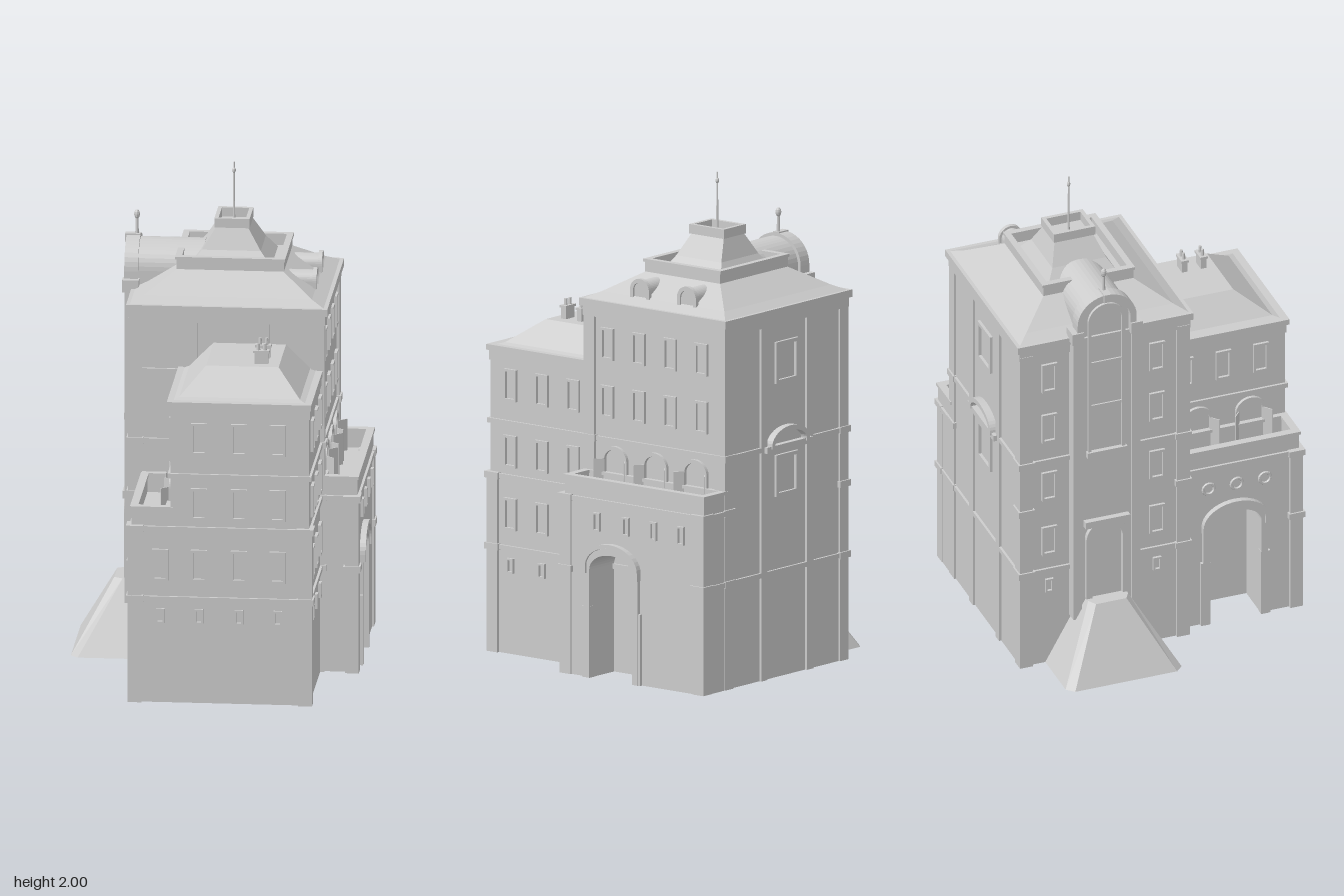
import * as THREE from 'three';

const mat = new THREE.MeshStandardMaterial({ color: 0xcccccc, side: THREE.DoubleSide, flatShading: true });
// Wall directions: local +z turned to the outward side of each wall
const FRONT = 0, LEFT = Math.PI / 2, BACK = Math.PI, RIGHT = -Math.PI / 2;

export function createModel() {
  const root = new THREE.Group();
  root.name = 'building';

  const put = (name, geo, x = 0, y = 0, z = 0, face = FRONT) => {
    const m = new THREE.Mesh(geo, mat);
    m.name = name;
    m.position.set(x, y, z);
    m.rotation.y = face;
    root.add(m);
    return m;
  };
  const box = (name, x0, x1, y0, y1, z0, z1) =>
    put(name, new THREE.BoxGeometry(x1 - x0, y1 - y0, z1 - z0), (x0 + x1) / 2, (y0 + y1) / 2, (z0 + z1) / 2);
  // Box without a floor
  const shell = (name, x0, x1, y0, y1, z0, z1) => {
    const g = box(name, x0, x1, y0, y1, z0, z1).geometry;
    g.setIndex(Array.from(g.index.array).filter((_, i) => i < 18 || i >= 24));
    g.clearGroups();
  };
  const extrude = (shape, depth) => new THREE.ExtrudeGeometry(shape, { depth, bevelEnabled: false, curveSegments: 10 });
  const rectPath = (P, x0, x1, y0, y1) => {
    const p = new P();
    p.moveTo(x0, y0); p.lineTo(x1, y0); p.lineTo(x1, y1); p.lineTo(x0, y1); p.closePath();
    return p;
  };
  // Rectangular ring running around a block
  const band = (name, x0, x1, y0, y1, z0, z1, t) => {
    const s = rectPath(THREE.Shape, x0, x1, -z1, -z0);
    s.holes.push(rectPath(THREE.Path, x0 + t, x1 - t, -z1 + t, -z0 - t));
    put(name, extrude(s, y1 - y0).rotateX(-Math.PI / 2), 0, y0, 0);
  };
  // Flat-sided loft through rings of [x, z] points at given heights
  const loft = (name, rings, cap = true) => {
    const v = [], n = rings[0].p.length;
    const add = (r, j) => v.push(r.p[j % n][0], r.y, r.p[j % n][1]);
    for (let i = 0; i + 1 < rings.length; i++) for (let j = 0; j < n; j++) {
      const a = rings[i], b = rings[i + 1];
      add(a, j); add(a, j + 1); add(b, j + 1);
      add(a, j); add(b, j + 1); add(b, j);
    }
    const top = rings[rings.length - 1];
    if (cap) for (let j = 1; j + 1 < n; j++) { add(top, 0); add(top, j); add(top, j + 1); }
    const g = new THREE.BufferGeometry();
    g.setAttribute('position', new THREE.Float32BufferAttribute(v, 3));
    g.computeVertexNormals();
    put(name, g);
  };
  const rect = (y, x0, x1, z0, z1) => ({ y, p: [[x0, z1], [x1, z1], [x1, z0], [x0, z0]] });

  const archShape = (w, s, rise) => {
    const p = new THREE.Shape();
    p.moveTo(-w / 2, 0); p.lineTo(w / 2, 0); p.lineTo(w / 2, s);
    p.absellipse(0, s, w / 2, rise, 0, Math.PI, false);
    p.closePath();
    return p;
  };
  const archFrame = (w, s, rise, t, depth) => {
    const p = new THREE.Shape(), r = w / 2;
    p.moveTo(r, 0); p.lineTo(r + t, 0); p.lineTo(r + t, s);
    p.absellipse(0, s, r + t, rise + t, 0, Math.PI, false);
    p.lineTo(-r - t, 0); p.lineTo(-r, 0); p.lineTo(-r, s);
    p.absellipse(0, s, r, rise, Math.PI, 0, true);
    p.closePath();
    return extrude(p, depth);
  };
  const windowFrame = (x, y, z, face, w = 0.065, h = 0.13, t = 0.01) => {
    const s = rectPath(THREE.Shape, -w / 2, w / 2, -h / 2, h / 2);
    s.holes.push(rectPath(THREE.Path, -w / 2 + t, w / 2 - t, -h / 2 + t, h / 2 - t));
    put('windowFrame', extrude(s, 0.012), x, y, z, face);
  };
  const smallWindow = (x, y, z, face, h = 0.06) => windowFrame(x, y, z, face, 0.034, h, 0.007);
  // Square corner pier with collars
  const pier = (x, z, y1, collars, w = 0.055) => {
    const h = w / 2;
    box('cornerPier', x - h, x + h, 0, y1, z - h, z + h);
    for (const y of collars) box('pierCollar', x - h - 0.007, x + h + 0.007, y - 0.013, y + 0.013, z - h - 0.007, z + h + 0.007);
  };

  // Tower body, courses and piers
  shell('towerWalls', -0.335, 0.425, 0, 1.47, -0.6, 0.105);
  for (const y of [0.43, 0.94]) band('towerCourse', -0.345, 0.435, y - 0.01, y + 0.01, -0.61, 0.115, 0.02);
  for (const z of [-0.58, 0.09]) for (const x of [-0.32, 0.41]) pier(x, z, 1.45, [0.43, 0.72, 0.94]);
  band('towerCornice', -0.345, 0.44, 1.435, 1.48, -0.61, 0.12, 0.03);
  band('towerEaves', -0.355, 0.45, 1.475, 1.505, -0.62, 0.13, 0.04);
  for (const x of [-0.1, 0.19]) {
    box('frontStrip', x - 0.028, x + 0.028, 0.94, 1.44, 0.1, 0.115);
    box('backStrip', x - 0.02, x + 0.02, 0, 1.44, -0.61, -0.595);
  }
  box('frontPanelRail', -0.3, -0.12, 1.2, 1.24, 0.1, 0.115);

  // Tower roof, railing platform and crown
  loft('towerRoof', [rect(1.5, -0.35, 0.445, -0.615, 0.125), rect(1.528, -0.292, 0.383, -0.56, 0.068),
    rect(1.61, -0.16, 0.25, -0.43, -0.065)]);
  band('platformRim', -0.17, 0.26, 1.605, 1.645, -0.44, -0.055, 0.02);
  band('platformLip', -0.175, 0.265, 1.645, 1.657, -0.445, -0.05, 0.026);
  loft('crownRoof', [rect(1.61, -0.12, 0.205, -0.4, -0.1), rect(1.665, -0.075, 0.16, -0.365, -0.135),
    rect(1.75, -0.022, 0.107, -0.335, -0.17)]);
  band('crownRim', -0.028, 0.113, 1.75, 1.788, -0.34, -0.163, 0.016);
  const spire = (x, z, y0, y1, r) => {
    put('spire', new THREE.CylinderGeometry(r * 0.6, r, y1 - y0, 8), x, (y0 + y1) / 2, z);
    put('spireKnob', new THREE.SphereGeometry(r * 1.5, 8, 6), x, y0 + (y1 - y0) * 0.86, z).scale.y = 1.6;
  };
  spire(0.043, -0.25, 1.75, 2.0, 0.005);

  // Round-topped roof dormers on the left slope
  for (const z of [-0.37, -0.13]) {
    put('dormer', extrude(archShape(0.078, 0.055, 0.04), 0.125), 0.255, 1.5, z, LEFT);
    put('dormerFrame', archFrame(0.066, 0.055, 0.034, 0.016, 0.016), 0.372, 1.5, z, LEFT);
  }

  // Tall bay on the right side with its barrel roof
  box('bayWall', -0.37, -0.33, 0.2, 1.5, -0.365, -0.135);
  put('barrelRoof', extrude(archShape(0.225, 0.07, 0.108), 0.29), -0.07, 1.5, -0.25, RIGHT);
  for (const z of [-0.375, -0.125]) {
    box('bayPier', -0.382, -0.33, 0.2, 1.5, z - 0.018, z + 0.018);
    box('bayShoulder', -0.392, -0.325, 1.49, 1.54, z - 0.025, z + 0.025);
  }
  put('bayArch', archFrame(0.2, 0.07, 0.095, 0.026, 0.055), -0.33, 1.5, -0.25, RIGHT);
  put('bayWindowFrame', archFrame(0.13, 0.6, 0.065, 0.014, 0.012), -0.37, 0.97, -0.25, RIGHT);
  box('bayWindowSill', -0.39, -0.365, 0.945, 0.97, -0.335, -0.165);
  for (const y of [1.17, 1.37]) box('bayGlazingBar', -0.377, -0.368, y, y + 0.012, -0.315, -0.185);
  box('bayKeystone', -0.392, -0.33, 1.66, 1.695, -0.265, -0.235);
  spire(-0.345, -0.25, 1.67, 1.79, 0.008);
  put('bayDoorFrame', archFrame(0.13, 0.27, 0.06, 0.025, 0.02), -0.37, 0.29, -0.25, RIGHT);
  box('bayDoorHood', -0.395, -0.36, 0.62, 0.65, -0.345, -0.155);

  // Sloped base below the bay
  loft('slopedBase', [
    { y: 0, p: [[-0.33, 0], [-0.56, 0], [-0.59, -0.03], [-0.59, -0.465], [-0.56, -0.495], [-0.33, -0.495]].reverse() },
    { y: 0.285, p: [[-0.33, -0.165], [-0.395, -0.165], [-0.43, -0.185], [-0.43, -0.315], [-0.395, -0.335], [-0.33, -0.335]].reverse() }]);

  // Tower windows
  for (const z of [0, -0.16, -0.32, -0.48]) for (const y of [1.33, 1.095]) windowFrame(0.425, y, z, LEFT);
  for (const z of [-0.48, -0.02]) {
    for (const y of [1.33, 1.095, 0.825, 0.57]) windowFrame(-0.335, y, z, RIGHT);
    smallWindow(-0.335, 0.36, z, RIGHT);
  }
  for (const y of [1.28, 0.82]) windowFrame(0.045, y, -0.6, BACK, 0.14, 0.17, 0.015);
  put('backPediment', archFrame(0.2, 0.01, 0.05, 0.02, 0.03), 0.045, 0.94, -0.6, BACK);
  box('backPedimentLedge', -0.1, 0.19, 0.925, 0.95, -0.625, -0.6);

  // Front wing
  shell('wingWalls', -0.135, 0.42, 0, 1.2, 0.1, 0.605);
  for (const y of [0.43, 0.72, 0.94]) band('wingCourse', -0.145, 0.43, y - 0.01, y + 0.01, 0.09, 0.615, 0.02);
  band('wingCornice', -0.14, 0.425, 1.185, 1.225, 0.1, 0.61, 0.03);
  band('wingEaves', -0.148, 0.43, 1.225, 1.248, 0.1, 0.62, 0.04);
  loft('wingRoof', [rect(1.24, -0.145, 0.428, 0.1, 0.617), rect(1.255, -0.103, 0.38, 0.1, 0.563),
    rect(1.35, -0.007, 0.283, 0.1, 0.433)]);
  pier(0.405, 0.59, 0.73, [0.43, 0.72]);
  for (const y of [1.095, 0.825, 0.57]) {
    for (const x of [-0.02, 0.14, 0.295]) windowFrame(x, y, 0.605, FRONT);
    for (const z of [0.5, 0.34, 0.18]) windowFrame(0.42, y, z, LEFT);
  }
  for (const z of [0.5, 0.34, 0.18]) {
    windowFrame(-0.135, 1.095, z, RIGHT);
    smallWindow(0.42, 0.36, z, LEFT);
  }
  windowFrame(-0.175, 0.57, 0.605, FRONT);
  for (const x of [-0.175, -0.02, 0.14, 0.295]) smallWindow(x, 0.36, 0.605, FRONT);

  // Chimneys with two pots each
  for (const z of [0.3, 0.38]) {
    box('chimney', 0.183, 0.237, 1.34, 1.395, z - 0.012, z + 0.012);
    box('chimneyCap', 0.178, 0.242, 1.395, 1.405, z - 0.016, z + 0.016);
    for (const x of [0.197, 0.223]) put('chimneyPot', new THREE.CylinderGeometry(0.006, 0.008, 0.03, 8), x, 1.417, z);
  }

  // Side annexes: arched gateway block, parapet terrace and terrace doors
  const annex = (face, xIn, xOut, z0, z1, archZ, doors) => {
    const s = Math.sign(xOut), L = z1 - z0, zc = (z0 + z1) / 2, c = -s * (archZ - zc);
    const p = new THREE.Shape();
    p.moveTo(-L / 2, 0); p.lineTo(c - 0.11, 0); p.lineTo(c - 0.11, 0.44);
    p.absellipse(c, 0.44, 0.11, 0.07, Math.PI, 0, true);
    p.lineTo(c + 0.11, 0); p.lineTo(L / 2, 0); p.lineTo(L / 2, 0.73); p.lineTo(-L / 2, 0.73); p.closePath();
    put('annexWalls', extrude(p, Math.abs(xOut - xIn)), xIn, 0, zc, face);
    put('gatewayFrame', archFrame(0.22, 0.44, 0.07, 0.028, 0.015), xOut, 0, archZ, face);
    put('gatewayHood', archFrame(0.25, 0.03, 0.085, 0.016, 0.024), xOut, 0.425, archZ, face);
    for (const d of [-1, 1]) {
      const z = archZ + d * 0.128;
      box('gatewayPlinth', xOut - 0.014, xOut + 0.014, 0, 0.29, z - 0.02, z + 0.02);
    }
    const [a, b] = s > 0 ? [xIn, xOut] : [xOut, xIn];
    band('annexCourse', a - 0.01, b + 0.01, 0.71, 0.73, z0 - 0.01, z1 + 0.01, 0.03);
    band('parapet', a, b, 0.72, 0.8, z0, z1, 0.02);
    band('parapetRim', a - 0.006, b + 0.006, 0.797, 0.81, z0 - 0.006, z1 + 0.006, 0.032);
    for (const z of doors) {
      put('terraceDoorFrame', archFrame(0.1, 0.13, 0.045, 0.014, 0.014), xIn + s * 0.005, 0.73, z, face);
      for (const d of [-1, 1]) {
        const leaf = put('terraceDoorLeaf', new THREE.BoxGeometry(0.045, 0.13, 0.004), xIn + s * 0.033, 0.8, z + d * 0.065);
        leaf.rotation.y = -s * d * 0.7;
      }
    }
  };
  annex(LEFT, 0.42, 0.568, -0.605, 0.105, -0.14, [-0.04, -0.245, -0.45]);
  annex(RIGHT, -0.13, -0.29, 0.105, 0.605, 0.33, [0.23, 0.455]);
  for (const z of [-0.58, 0.1]) pier(0.548, z, 0.72, [0.43, 0.72]);
  pier(-0.277, 0.59, 0.72, [0.43, 0.72]);
  box('annexFrontCourse', -0.3, -0.13, 0.42, 0.44, 0.6, 0.615);
  box('annexBackCourse', 0.42, 0.575, 0.42, 0.44, -0.612, -0.6);
  for (const z of [-0.06, -0.21, -0.35, -0.49]) smallWindow(0.568, 0.637, z, LEFT, 0.075);
  for (const z of [0.22, 0.34, 0.46]) put('roundWindow', new THREE.TorusGeometry(0.024, 0.007, 6, 16), -0.29, 0.625, z, RIGHT);

  return root;
}
